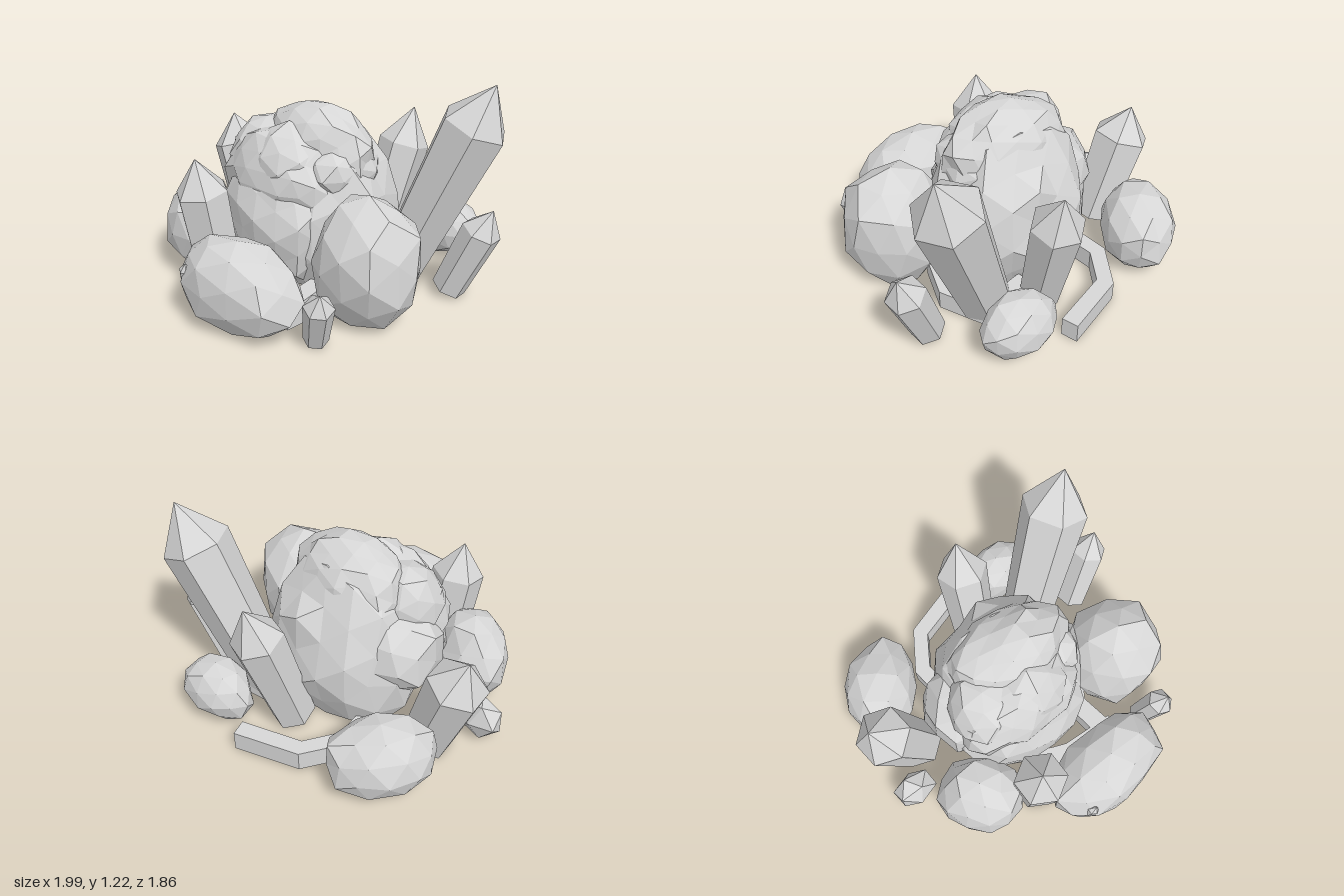
import * as THREE from 'three';

const stone = new THREE.MeshStandardMaterial({ color: 0xd6d6d6, flatShading: true });
stone.name = 'pale grey stone';

// Repeatable noise from a position, so shared corners stay joined
function noise(v, seed) {
  const s = Math.sin(Math.round(v.x * 100) * 12.9898 + Math.round(v.y * 100) * 78.233 + Math.round(v.z * 100) * 37.719 + seed * 4.17) * 43758.5453;
  return s - Math.floor(s);
}

// Rough boulder fitted into the box min..max, flattened where it meets the ground
function rock(name, min, max, { detail = 1, rough = 0.16, seed = 1, yaw = 0, stretch = 1 } = {}) {
  const geo = new THREE.IcosahedronGeometry(1, detail);
  const pos = geo.attributes.position;
  const v = new THREE.Vector3();
  for (let i = 0; i < pos.count; i++) {
    v.fromBufferAttribute(pos, i);
    v.multiplyScalar(1 - rough * noise(v, seed));
    pos.setXYZ(i, v.x, v.y, v.z);
  }
  geo.rotateY(seed);
  geo.scale(stretch, 1, 1);
  geo.rotateY(yaw);
  geo.computeBoundingBox();
  const lo = geo.boundingBox.min.clone();
  const size = geo.boundingBox.getSize(new THREE.Vector3());
  for (let i = 0; i < pos.count; i++) {
    v.fromBufferAttribute(pos, i).sub(lo).divide(size);
    pos.setXYZ(i,
      min[0] + v.x * (max[0] - min[0]),
      Math.max(0, min[1] + v.y * (max[1] - min[1])),
      min[2] + v.z * (max[2] - min[2]));
  }
  geo.computeVertexNormals();
  const mesh = new THREE.Mesh(geo, stone);
  mesh.name = name;
  return mesh;
}

// Six-sided crystal leaning from base to tip; its square-cut foot just touches the ground
function crystal(name, base, tip, rBase, rTop, shoulder, twist = 0) {
  const a = new THREE.Vector3(...base);
  const dir = new THREE.Vector3(...tip).sub(a);
  const h = dir.length();
  dir.normalize();
  const foot = rBase * Math.tan(Math.acos(dir.y));
  const geo = new THREE.LatheGeometry([
    new THREE.Vector2(0, foot),
    new THREE.Vector2(rBase, foot),
    new THREE.Vector2(rTop, h * shoulder),
    new THREE.Vector2(0, h),
  ], 6, twist);
  geo.applyQuaternion(new THREE.Quaternion().setFromUnitVectors(new THREE.Vector3(0, 1, 0), dir));
  geo.translate(a.x, a.y, a.z);
  const mesh = new THREE.Mesh(geo, stone);
  mesh.name = name;
  return mesh;
}

// Low kerb following points [x, z] on the ground
function kerb(name, points, width, height) {
  const pts = points.map(p => new THREE.Vector2(p[0], -p[1]));
  const side = s => pts.map((p, i) => {
    const t = pts[Math.min(i + 1, pts.length - 1)].clone().sub(pts[Math.max(i - 1, 0)]).normalize();
    return new THREE.Vector2(p.x - t.y * s * width / 2, p.y + t.x * s * width / 2);
  });
  const shape = new THREE.Shape([...side(-1), ...side(1).reverse()]);
  const geo = new THREE.ExtrudeGeometry(shape, { depth: height, bevelEnabled: false });
  geo.rotateX(-Math.PI / 2);
  const mesh = new THREE.Mesh(geo, stone);
  mesh.name = name;
  return mesh;
}

export function createModel() {
  const model = new THREE.Group();
  model.name = 'crystalRockCluster';

  // Central boulder built from overlapping lumps
  const boulder = new THREE.Group();
  boulder.name = 'centralBoulder';
  boulder.add(
    rock('boulderCore', [-0.5, -0.16, -0.52], [0.45, 0.97, 0.34], { detail: 2, rough: 0.14, seed: 3 }),
    rock('boulderCrown', [-0.37, 0.5, -0.33], [0.38, 1.06, 0.18], { detail: 2, rough: 0.15, seed: 10 }),
    rock('boulderFrontUpper', [-0.5, 0.36, -0.12], [0.3, 0.94, 0.37], { detail: 2, rough: 0.15, seed: 5 }),
    rock('boulderFrontCorner', [-0.5, 0.5, -0.16], [-0.08, 0.94, 0.28], { rough: 0.15, seed: 1 }),
    rock('boulderFrontPeak', [-0.3, 0.5, -0.06], [0.2, 0.99, 0.34], { rough: 0.15, seed: 13 }),
    rock('boulderFrontBelly', [-0.51, -0.02, -0.1], [0.33, 0.8, 0.43], { detail: 2, rough: 0.15, seed: 4 }),
    rock('boulderLeftLump', [-0.58, 0.2, -0.32], [-0.08, 0.74, 0.2], { seed: 8 }),
    rock('boulderRightLump', [0.02, 0.56, -0.26], [0.38, 0.89, 0.2], { seed: 2 }),
  );
  model.add(boulder);

  // Boulders around it
  model.add(
    rock('frontRock', [-0.25, -0.03, 0.47], [0.54, 0.51, 0.93], { seed: 4, rough: 0.14, stretch: 1.6, yaw: 0.1 }),
    rock('leftSideRock', [0.3, -0.03, -0.12], [0.9, 0.75, 0.46], { seed: 7, rough: 0.14 }),
    rock('rightFrontRock', [-0.8, -0.03, 0.12], [-0.33, 0.55, 0.62], { seed: 9, rough: 0.14, stretch: 1.2, yaw: -0.6 }),
    rock('rightBackRock', [-0.9, -0.02, -0.84], [-0.39, 0.44, -0.29], { seed: 11, rough: 0.14, stretch: 1.4, yaw: 0.9 }),
    rock('leftBackRock', [0.17, 0, -0.93], [0.66, 0.38, -0.6], { seed: 12, rough: 0.14 }),
    rock('pebble', [-0.97, 0.03, -0.02], [-0.73, 0.27, 0.18], { detail: 0, seed: 2, rough: 0.08 }),
  );

  // Leaning crystals
  model.add(
    crystal('largeCrystal', [0.35, 0, -0.4], [0.81, 1.22, -0.61], 0.155, 0.2, 0.8, 0.55),
    crystal('rightCrystal', [-0.64, 0, -0.16], [-0.9, 0.75, -0.18], 0.15, 0.175, 0.76, 0.1),
    crystal('frontCrystal', [-0.24, 0, 0.5], [-0.3, 0.82, 0.61], 0.14, 0.155, 0.76),
    crystal('backCrystal', [0.06, 0, -0.5], [0.14, 0.9, -0.76], 0.13, 0.155, 0.76, 0.2),
    crystal('smallBackCrystal', [0.735, 0, -0.37], [0.96, 0.57, -0.45], 0.1, 0.115, 0.76, 0.1),
    crystal('smallFrontCrystal', [0.56, 0, 0.53], [0.68, 0.37, 0.62], 0.07, 0.085, 0.76, 0.2),
    crystal('crystalChip', [-0.13, 0.2, 0.84], [-0.09, 0.35, 0.87], 0.03, 0.035, 0.7),
  );

  // Low kerbs around the foot
  model.add(
    kerb('backKerb', [[0.15, -0.87], [-0.22, -0.75], [-0.36, -0.53], [-0.33, -0.25]], 0.1, 0.12),
    kerb('sideKerb', [[0.13, -0.46], [0.42, -0.5], [0.53, -0.25], [0.44, 0.0], [0.28, 0.25], [0.31, 0.48]], 0.12, 0.12),
    kerb('frontKerb', [[0.38, 0.5], [0.05, 0.48], [-0.15, 0.4]], 0.12, 0.12),
  );
  return model;
}
